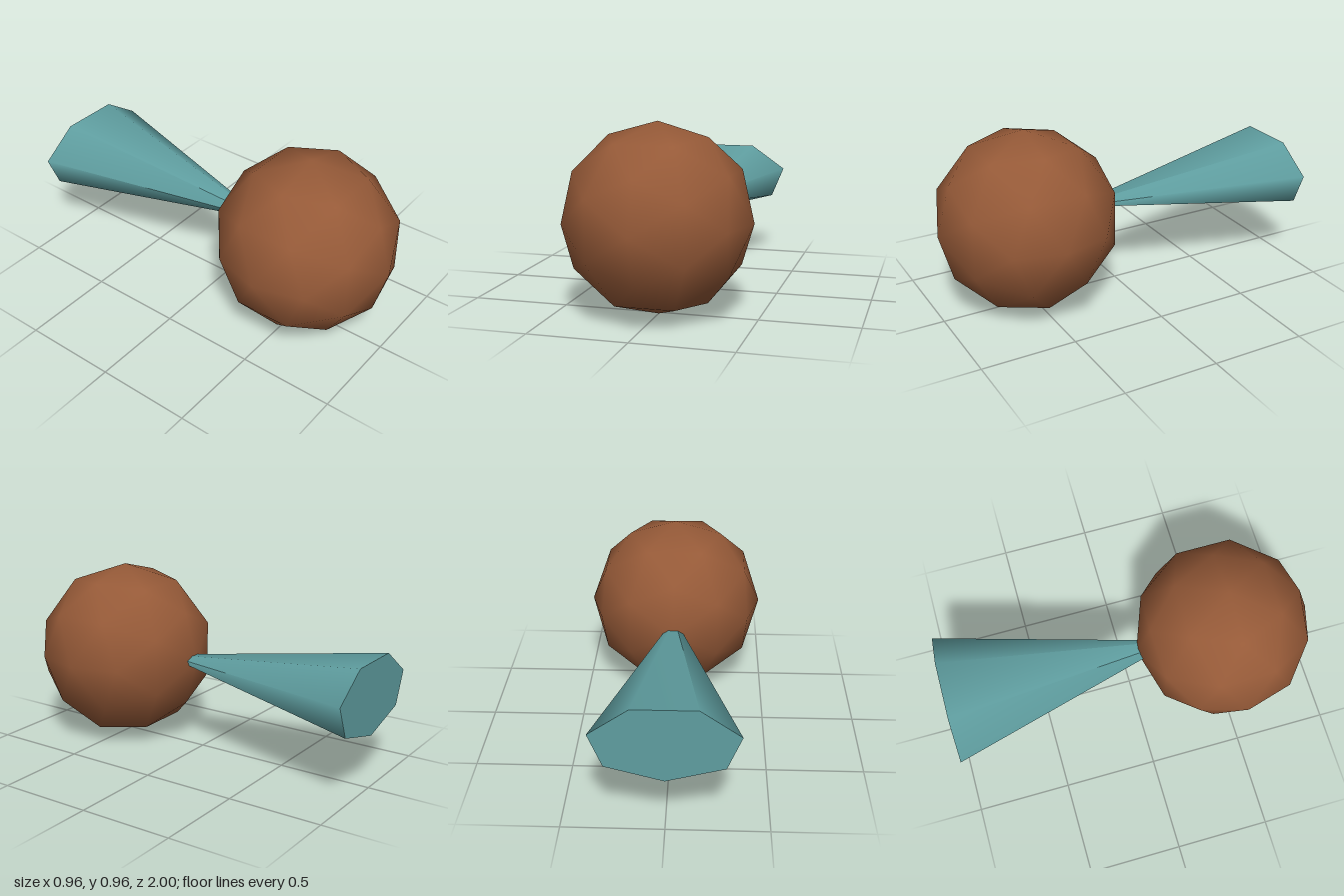
import * as THREE from 'three';

export function createModel() {
  const model = new THREE.Group();

  const addPart = (name, geometry, color) => {
    const mesh = new THREE.Mesh(geometry, new THREE.MeshStandardMaterial({ color }));
    mesh.name = name;
    model.add(mesh);
    return mesh;
  };

  // Low-poly ball with smooth shading
  const body = addPart('body', new THREE.IcosahedronGeometry(0.48, 1), 0x965a38);
  body.position.set(0, 0.48, 0.52);

  // Flattened seven-sided cone, its tip sunk into the ball and its base facing back
  const tailShape = new THREE.ConeGeometry(1, 1.26, 7).rotateX(Math.PI / 2).scale(0.363, 0.202, 1);
  const tail = addPart('tail', tailShape, 0x5f9ea0);
  tail.position.set(0, 0.48, -0.37);

  return model;
}
